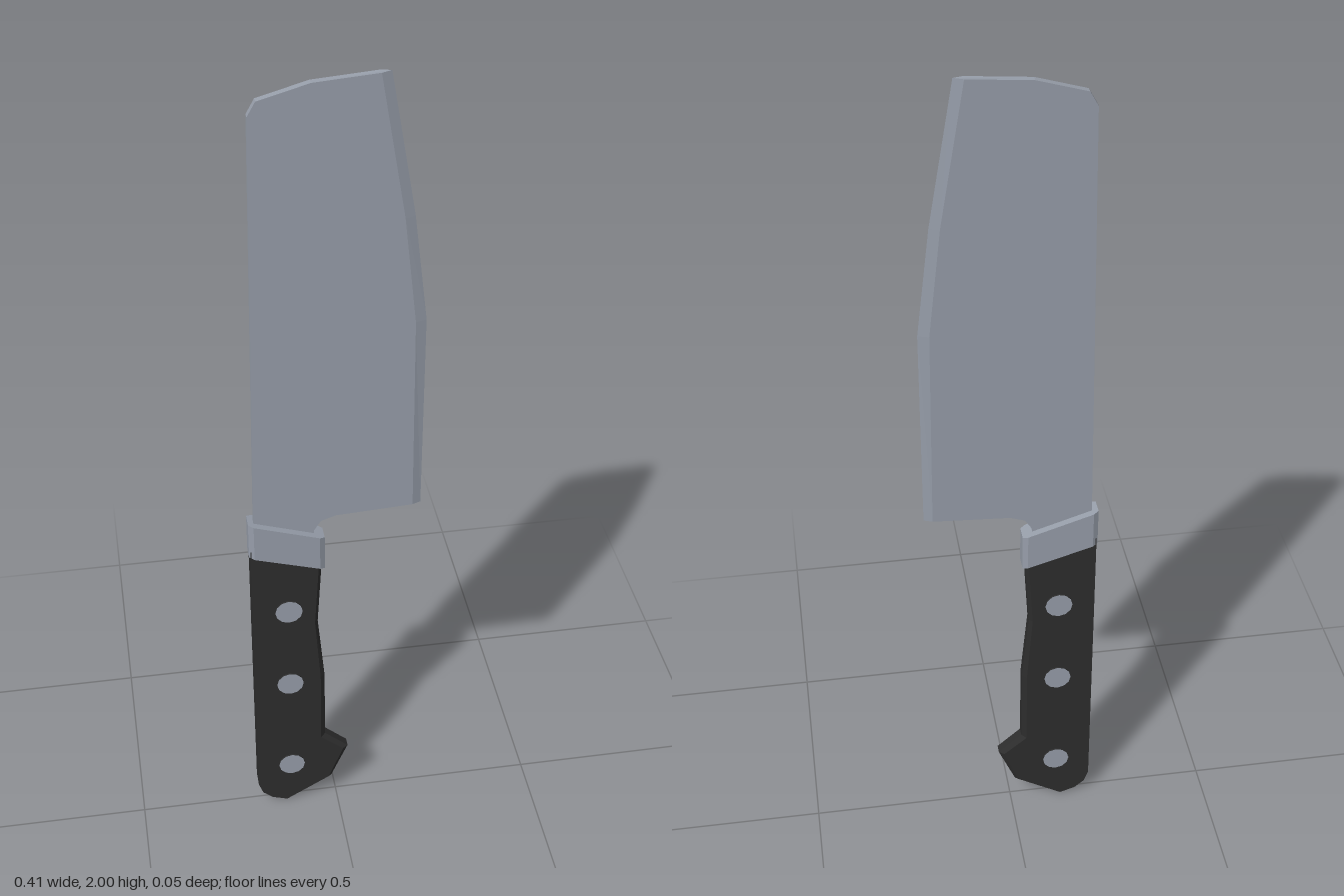
import * as THREE from 'three';

const steel = new THREE.MeshStandardMaterial({ color: 0x979eaa });
steel.name = 'steel';
const black = new THREE.MeshStandardMaterial({ color: 0x2d2d2d });
black.name = 'blackGrip';

// Faceted solid stacked along z. Each outline point is [x, y, insetX, insetY]:
// the inset moves the point on the outer faces, which bevels that edge.
function bevelledPlate(name, outline, halfDepth, ridge, material) {
  const outer = outline.map(([x, y]) => new THREE.Vector2(x, y));
  const inner = outline.map(([x, y, dx = 0, dy = 0]) => new THREE.Vector2(x + dx, y + dy));
  const layers = [[inner, -halfDepth], [outer, -ridge], [outer, ridge], [inner, halfDepth]];
  if (ridge === 0) layers.splice(2, 1);
  const pos = [];
  const put = (p, z) => pos.push(p.x, p.y, z);

  // Side walls
  for (let k = 0; k < layers.length - 1; k++) {
    const [a, za] = layers[k], [b, zb] = layers[k + 1];
    for (let i = 0; i < a.length; i++) {
      const j = (i + 1) % a.length;
      put(a[i], za); put(a[j], za); put(b[j], zb);
      put(a[i], za); put(b[j], zb); put(b[i], zb);
    }
  }
  // Front and back faces
  for (const [a, b, c] of THREE.ShapeUtils.triangulateShape(inner, [])) {
    for (const i of [a, b, c]) put(inner[i], halfDepth);
    for (const i of [c, b, a]) put(inner[i], -halfDepth);
  }
  const geometry = new THREE.BufferGeometry();
  geometry.setAttribute('position', new THREE.Float32BufferAttribute(pos, 3));
  geometry.computeVertexNormals();
  const mesh = new THREE.Mesh(geometry, material);
  mesh.name = name;
  return mesh;
}

export function createModel() {
  const model = new THREE.Group();
  model.name = 'kitchenKnife';

  // Blade, ground to a sharp ridge along the cutting edge (counterclockwise)
  model.add(bevelledPlate('blade', [
    [-0.193, 0.86], [-0.052, 0.82], [-0.052, 0.875], [-0.035, 0.902], [0, 0.914],
    [0.2, 0.924, -0.02], [0.199, 1.42, -0.025], [0.168, 1.675, -0.023], [0.112, 2, -0.022, -0.001],
    [-0.05, 1.988], [-0.16, 1.957], [-0.178, 1.925],
  ], 0.008, 0, steel));

  // Slanted collar with chamfered sides
  model.add(bevelledPlate('collar', [
    [-0.206, 0.823, 0.012, -0.004], [-0.028, 0.768, -0.012, 0.004],
    [-0.028, 0.86, -0.012, 0.004], [-0.206, 0.918, 0.012, -0.004],
  ], 0.025, 0.018, steel));

  // Grip with a hooked butt and bevelled finger side
  model.add(bevelledPlate('handle', [
    [-0.203, 0.84], [-0.203, 0.065], [-0.192, 0.034], [-0.168, 0.013], [-0.13, 0],
    [-0.012, 0.062, -0.008, 0.004], [0.03, 0.162, -0.013], [-0.028, 0.215, -0.012, -0.004],
    [-0.029, 0.42, -0.011], [-0.045, 0.6, -0.008], [-0.034, 0.79, -0.008],
  ], 0.021, 0.011, black));

  // Rivets through the grip
  const rivet = new THREE.CylinderGeometry(0.033, 0.033, 0.05, 12).rotateX(Math.PI / 2);
  for (const y of [0.13, 0.412, 0.647]) {
    const mesh = new THREE.Mesh(rivet, [black, steel, steel]);
    mesh.name = 'rivet';
    mesh.position.set(-0.116, y, 0);
    model.add(mesh);
  }
  return model;
}
